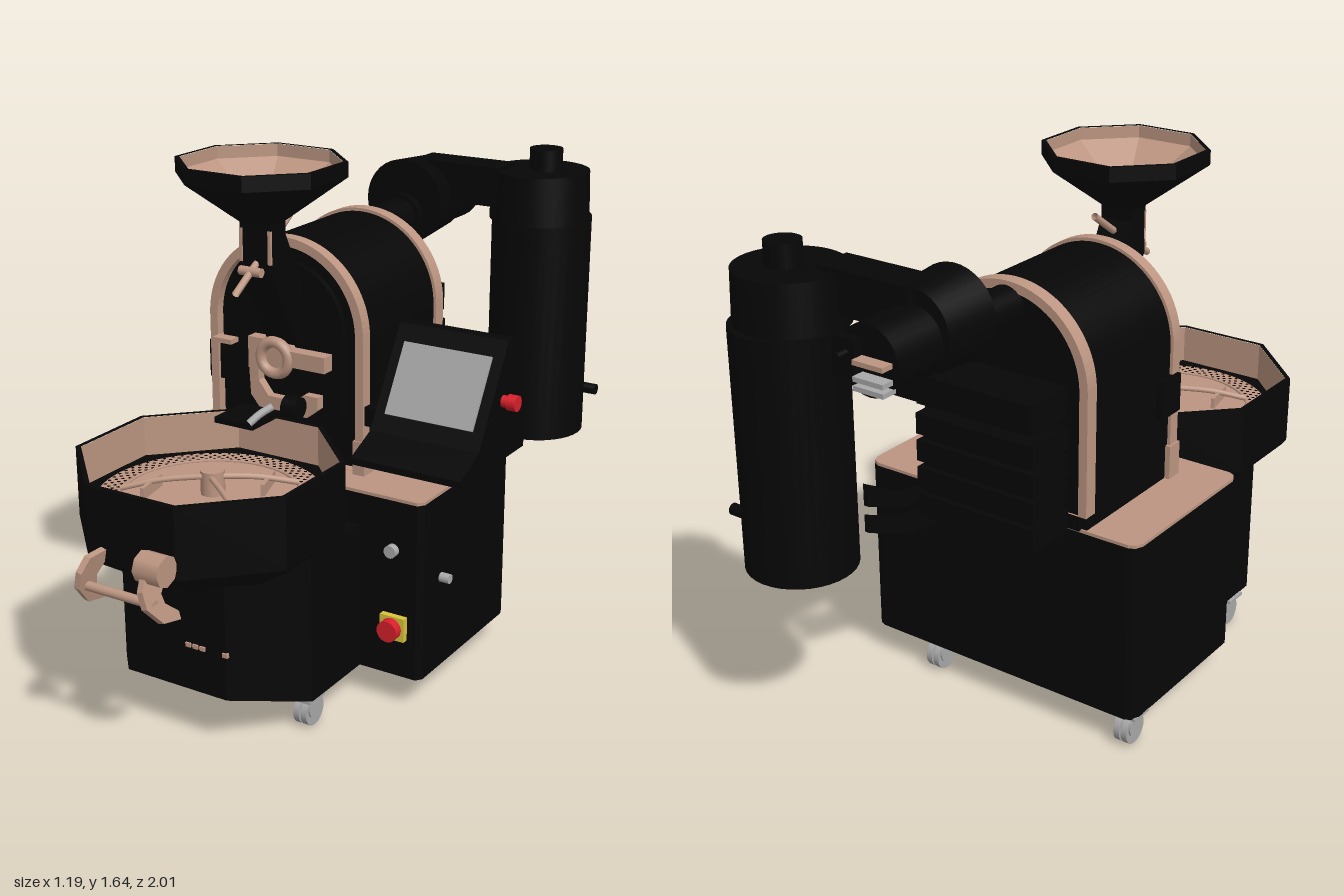
import * as THREE from 'three';
import { mergeGeometries } from 'three/addons/utils/BufferGeometryUtils.js';

const mat = (name, color, side = THREE.FrontSide) => {
  const m = new THREE.MeshStandardMaterial({ color, side });
  m.name = name;
  return m;
};

export function createModel() {
  const root = new THREE.Group();
  root.name = 'drumRoaster';
  const black = mat('blackPaint', 0x060606);
  const tan = mat('copperTan', 0xbc9581, THREE.DoubleSide);
  const grey = mat('casterGrey', 0xa9a9a9);
  const glass = mat('screenGrey', 0xa3a3a3);
  const red = mat('buttonRed', 0xd81f2a);
  const yellow = mat('plateYellow', 0xd8c43a);

  // Helpers
  const add = (name, geo, m, x = 0, y = 0, z = 0) => {
    const mesh = new THREE.Mesh(geo, m);
    mesh.name = name;
    mesh.position.set(x, y, z);
    root.add(mesh);
    return mesh;
  };
  const box = (name, m, x0, x1, y0, y1, z0, z1) =>
    add(name, new THREE.BoxGeometry(x1 - x0, y1 - y0, z1 - z0), m, (x0 + x1) / 2, (y0 + y1) / 2, (z0 + z1) / 2);
  const cyl = (name, m, axis, r, len, x, y, z, r2 = r, seg = 28) => {
    const g = new THREE.CylinderGeometry(r2, r, len, seg);
    if (axis === 'z') g.rotateX(Math.PI / 2);
    if (axis === 'x') g.rotateZ(-Math.PI / 2);
    return add(name, g, m, x, y, z);
  };
  const tube = (name, m, r, pts) =>
    add(name, new THREE.TubeGeometry(new THREE.CatmullRomCurve3(pts.map(p => new THREE.Vector3(...p))), 20, r, 10), m);
  const poly = pts => new THREE.Shape(pts.map(p => new THREE.Vector2(...p)));
  const extrude = (shape, depth) =>
    new THREE.ExtrudeGeometry(shape, { depth, bevelEnabled: false, curveSegments: 24 });
  // Side profile in (z, y), swept from x0 to x1
  const side = (name, m, pts, x0, x1) =>
    add(name, extrude(poly(pts), x1 - x0).rotateY(-Math.PI / 2), m, x1);
  // Plan in (x, -z), swept from y0 to y1
  const plan = (name, m, shape, y0, y1, x = 0, z = 0) =>
    add(name, extrude(shape, y1 - y0).rotateX(-Math.PI / 2), m, x, y0, z);
  // Faceted octagonal lathe; radii are measured to the flats
  const K = Math.cos(Math.PI / 8);
  const octLathe = (name, m, pts, x, z) => {
    const g = new THREE.LatheGeometry(pts.map(p => new THREE.Vector2(p[0] / K, p[1])), 8, Math.PI / 8).toNonIndexed();
    g.computeVertexNormals();
    return add(name, g, m, x, 0, z);
  };

  // Cabinet with tan worktop
  const cabinet = poly([[-0.59, 0.31], [-0.58, 0.335], [-0.56, 0.345], [0.36, 0.345], [0.38, 0.335], [0.39, 0.31],
    [0.39, -0.21], [0.375, -0.23], [-0.56, -0.23], [-0.58, -0.22], [-0.59, -0.2]]);
  plan('cabinet', black, cabinet, 0.1, 0.672);
  plan('worktop', tan, cabinet, 0.672, 0.682);
  // Cooling base: chamfered front with a rising underside
  const base = extrude(poly([[-0.47, -0.22], [-0.47, -0.56], [-0.33, -0.72], [0.03, -0.72], [0.18, -0.5], [0.18, -0.22]]), 0.47)
    .rotateX(-Math.PI / 2).translate(0, 0.1, 0);
  const p = base.attributes.position;
  for (let i = 0; i < p.count; i++) if (p.getY(i) < 0.2 && p.getZ(i) > 0.6) p.setY(i, 0.165);
  base.computeVertexNormals();
  add('coolingBase', base, black);

  // Cooling tray: octagonal wall around a round perforated floor
  const TX = -0.15, TZ = 0.53, R = 0.335;
  octLathe('coolingTray', black, [[0, 0.52], [0.25, 0.52], [0.36, 0.595], [0.37, 0.61], [0.37, 0.828], [0.355, 0.828]], TX, TZ);
  octLathe('trayLining', tan, [[0.355, 0.827], [0.355, 0.7]], TX, TZ);
  const shelf = poly([...Array(8).keys()].map(i => {
    const a = (i + 0.5) * Math.PI / 4;
    return [0.36 / K * Math.cos(a), 0.36 / K * Math.sin(a)];
  }));
  shelf.holes.push(new THREE.Path().absarc(0, 0, R, 0, Math.PI * 2, true));
  plan('trayShelf', black, shelf, 0.69, 0.703, TX, TZ);
  cyl('trayFloor', tan, 'y', R, 0.01, TX, 0.697, TZ, R, 40);
  add('floorRing', new THREE.TorusGeometry(0.265, 0.005, 6, 48).rotateX(Math.PI / 2), tan, TX, 0.704, TZ);
  const holes = [];
  for (let ring = 0; ring < 4; ring++) for (let i = 0; i < 70; i++) {
    const a = (i + ring * 0.5) / 70 * Math.PI * 2, r = 0.28 + ring * 0.015;
    holes.push(new THREE.CircleGeometry(0.0058, 6).rotateX(-Math.PI / 2).translate(r * Math.cos(a), 0, r * Math.sin(a)));
  }
  add('floorPerforations', mergeGeometries(holes), black, TX, 0.7035, TZ);
  cyl('stirrerHub', tan, 'y', 0.036, 0.08, TX, 0.735, TZ - 0.015);
  for (const a of [0.62, 2.57, -0.7]) {
    const c = Math.cos(a), s = Math.sin(a);
    tube('stirrerArm', tan, 0.009, [[TX, 0.76, TZ], [TX + 0.14 * c, 0.75, TZ + 0.14 * s], [TX + 0.26 * c, 0.725, TZ + 0.26 * s]]);
    const blade = box('stirrerBlade', tan, -0.06, 0.06, -0.018, 0.018, -0.006, 0.006);
    blade.position.set(TX + 0.17 * c, 0.728, TZ + 0.17 * s);
    blade.rotation.y = -a + 1.2;
  }

  // Tray handle
  cyl('handleBlock', tan, 'x', 0.046, 0.085, -0.037, 0.655, 0.94, 0.046, 8);
  for (const [x, lean] of [[-0.255, -0.2], [-0.02, 0.28]]) {
    const arm = side('handleArm', tan, [[0.9, 0.65], [0.97, 0.65], [1, 0.61], [1, 0.56], [0.95, 0.5], [0.88, 0.485],
      [0.88, 0.51], [0.925, 0.55], [0.93, 0.58], [0.9, 0.61]].map(([z, y]) => [z, y - 0.56]), -0.01, 0.01);
    arm.position.set(x, 0.56, 0);
    arm.rotation.z = lean;
  }
  cyl('handleBar', tan, 'x', 0.014, 0.24, -0.14, 0.56, 0.965);

  // Drum housing with tan arch bands
  const arch = (r, y0) => {
    const s = new THREE.Shape();
    s.moveTo(-r, y0).lineTo(r, y0).lineTo(r, 1.11).absarc(0, 1.11, r, 0, Math.PI, false);
    return s;
  };
  add('drumHousing', extrude(arch(0.268, 0.68), 0.44), black, -0.15, 0, -0.34);
  for (const [z, d, y0] of [[0.09, 0.04, 0.69], [-0.36, 0.045, 0.73]]) {
    const s = arch(0.278, y0);
    s.holes.push(arch(0.25, y0 + 0.001));
    add('archBand', extrude(s, d), tan, -0.15, 0, z);
  }
  add('drumBack', extrude(arch(0.25, 0.68), 0.02), black, -0.15, 0, -0.355);
  for (const s of [-1, 1]) box('bandFoot', tan, -0.15 + s * 0.265 - 0.02, -0.15 + s * 0.265 + 0.02, 0.68, 0.79, 0.08, 0.135);

  // Drum door, discharge and front fittings
  add('doorSurround', extrude(arch(0.2, 0.84), 0.02), black, -0.15, 0, 0.1);
  add('doorRing', new THREE.TorusGeometry(0.05, 0.018, 8, 24), tan, -0.16, 1.02, 0.17);
  cyl('doorPlate', tan, 'z', 0.05, 0.05, -0.16, 1.02, 0.145);
  box('doorArm', tan, -0.11, 0.02, 1.0, 1.05, 0.13, 0.175);
  box('doorLatch', tan, -0.265, -0.21, 0.97, 1.07, 0.12, 0.16);
  const lip = poly([[-0.27, 0.97], [-0.265, 0.88], [-0.23, 0.838], [-0.06, 0.838], [-0.02, 0.87], [-0.02, 0.91],
    [-0.07, 0.91], [-0.1, 0.885], [-0.2, 0.885], [-0.235, 0.93], [-0.235, 0.97]]);
  add('dischargeFrame', extrude(lip, 0.03), tan, 0, 0, 0.12);
  box('dischargeCover', black, -0.29, -0.15, 0.83, 0.848, 0.16, 0.31);
  cyl('dischargeKnob', black, 'x', 0.034, 0.05, -0.045, 0.905, 0.245);
  tube('dischargeLever', grey, 0.012, [[-0.11, 0.9, 0.26], [-0.135, 0.88, 0.29], [-0.155, 0.855, 0.32]]);
  box('sideLatch', tan, -0.4, -0.33, 1.03, 1.045, 0.12, 0.16);
  box('sideHinge', black, -0.44, -0.34, 0.9, 1.02, 0.02, 0.12);

  // Hopper, chute and slide lever
  octLathe('hopper', black, [[0.055, 1.455], [0.235, 1.595], [0.235, 1.64], [0.222, 1.64]], -0.15, 0.24);
  octLathe('hopperLining', tan, [[0.222, 1.639], [0.222, 1.602], [0.04, 1.48], [0, 1.48]], -0.15, 0.24);
  add('hopperOutlet', new THREE.RingGeometry(0.03, 0.034, 24).rotateX(-Math.PI / 2), black, -0.15, 1.485, 0.24);
  side('feedChute', black, [[0.275, 1.47], [0.275, 1.31], [0.14, 1.06], [0.1, 1.06], [0.1, 1.22], [0.2, 1.42], [0.2, 1.47]], -0.205, -0.095);
  for (const x of [-0.205, -0.105]) box('chuteEdge', tan, x, x + 0.01, 1.34, 1.44, 0.27, 0.279);
  tube('slideLever', tan, 0.011, [[-0.15, 1.27, 0.38], [-0.15, 1.32, 0.3], [-0.15, 1.38, 0.2], [-0.15, 1.46, 0.08]]);
  cyl('slideHandle', tan, 'x', 0.014, 0.075, -0.15, 1.32, 0.3);

  // Control panel
  side('panelHousing', black, [[0.3, 0.79], [0.3, 0.81], [0.19, 0.86], [0.02, 1.15], [-0.02, 1.15], [-0.1, 1.03], [-0.1, 0.79]], 0.19, 0.55);
  const screen = box('screen', glass, -0.145, 0.145, -0.112, 0.112, -0.004, 0.004);
  screen.position.set(0.37, 1.007, 0.108);
  screen.rotation.x = -0.53;
  box('panelMount', black, 0.22, 0.4, 0.68, 0.8, -0.06, 0.06);
  box('panelArm', black, 0.1, 0.2, 0.84, 0.9, 0.07, 0.12);
  cyl('panelStop', red, 'x', 0.018, 0.025, 0.558, 0.975, 0.045);
  cyl('panelStopCap', red, 'x', 0.024, 0.03, 0.583, 0.975, 0.045);

  // Cabinet switches
  box('stopPlate', yellow, 0.262, 0.345, 0.228, 0.305, 0.23, 0.25);
  cyl('stopButton', red, 'z', 0.034, 0.03, 0.302, 0.266, 0.264);
  cyl('frontKnob', grey, 'z', 0.02, 0.025, 0.295, 0.515, 0.24);
  cyl('sideKnob', grey, 'x', 0.015, 0.035, 0.405, 0.4, 0.105);
  for (const x of [-0.1, -0.075, -0.05, 0.03]) box('baseFitting', tan, x - 0.009, x + 0.009, 0.305, 0.318, 0.715, 0.726);

  // Rear motor housing with ribs
  box('motorHousing', black, -0.35, 0.03, 0.66, 1.0, -0.51, -0.36);
  for (let i = 0; i < 4; i++) box('motorRib', black, -0.365, 0.045, 0.68 + i * 0.085, 0.745 + i * 0.085, -0.53, -0.36);
  box('motorCap', black, -0.36, 0.04, 1.03, 1.12, -0.53, -0.36);

  // Exhaust fan
  cyl('exhaustPipe', black, 'z', 0.06, 0.26, -0.15, 1.315, -0.47);
  cyl('exhaustCollar', black, 'z', 0.075, 0.03, -0.15, 1.315, -0.57);
  cyl('fanVolute', black, 'z', 0.125, 0.18, -0.145, 1.36, -0.67, 0.14, 36);
  cyl('fanMotor', black, 'z', 0.1, 0.18, -0.15, 1.34, -0.85);
  box('fanMotorCap', black, -0.13, -0.055, 1.29, 1.4, -0.97, -0.93);
  box('fanDuct', black, -0.15, 0.16, 1.36, 1.49, -0.78, -0.66);
  for (const [y, m] of [[1.275, grey], [1.3, grey], [1.345, tan]])
    box('fanTerminal', m, -0.23, -0.13, y - 0.007, y + 0.007, -0.98, -0.93);
  cyl('fanBolt', black, 'z', 0.012, 0.04, -0.1, 1.36, -0.985);

  // Cyclone
  cyl('cycloneBody', black, 'y', 0.165, 0.74, 0.25, 0.95, -0.81, 0.165, 36);
  cyl('cycloneHead', black, 'y', 0.165, 0.16, 0.25, 1.395, -0.79, 0.16, 36);
  cyl('chimney', black, 'y', 0.054, 0.2, 0.265, 1.445, -0.795);
  cyl('cycloneKnob', black, 'x', 0.018, 0.05, 0.42, 0.72, -0.88);
  side('upperStay', black, [[-0.33, 0.69], [-0.5, 0.71], [-0.66, 0.8], [-0.66, 0.73], [-0.5, 0.66], [-0.33, 0.65]], 0.125, 0.14);
  side('lowerStay', black, [[-0.33, 0.61], [-0.5, 0.63], [-0.66, 0.7], [-0.66, 0.645], [-0.5, 0.57], [-0.33, 0.54]], 0.125, 0.14);

  // Casters
  for (const [x, z] of [[-0.44, 0.46], [0.14, 0.46], [-0.55, -0.3], [0.16, -0.3]]) {
    for (const s of [-1, 1]) cyl('casterWheel', grey, 'x', 0.048, 0.02, x + s * 0.013, 0.048, z);
    cyl('casterHood', grey, 'x', 0.036, 0.056, x, 0.062, z);
    cyl('casterStem', grey, 'y', 0.016, 0.05, x, 0.09, z + 0.015);
    box('casterPlate', grey, x - 0.04, x + 0.04, 0.092, 0.102, z - 0.03, z + 0.05);
  }
  return root;
}
